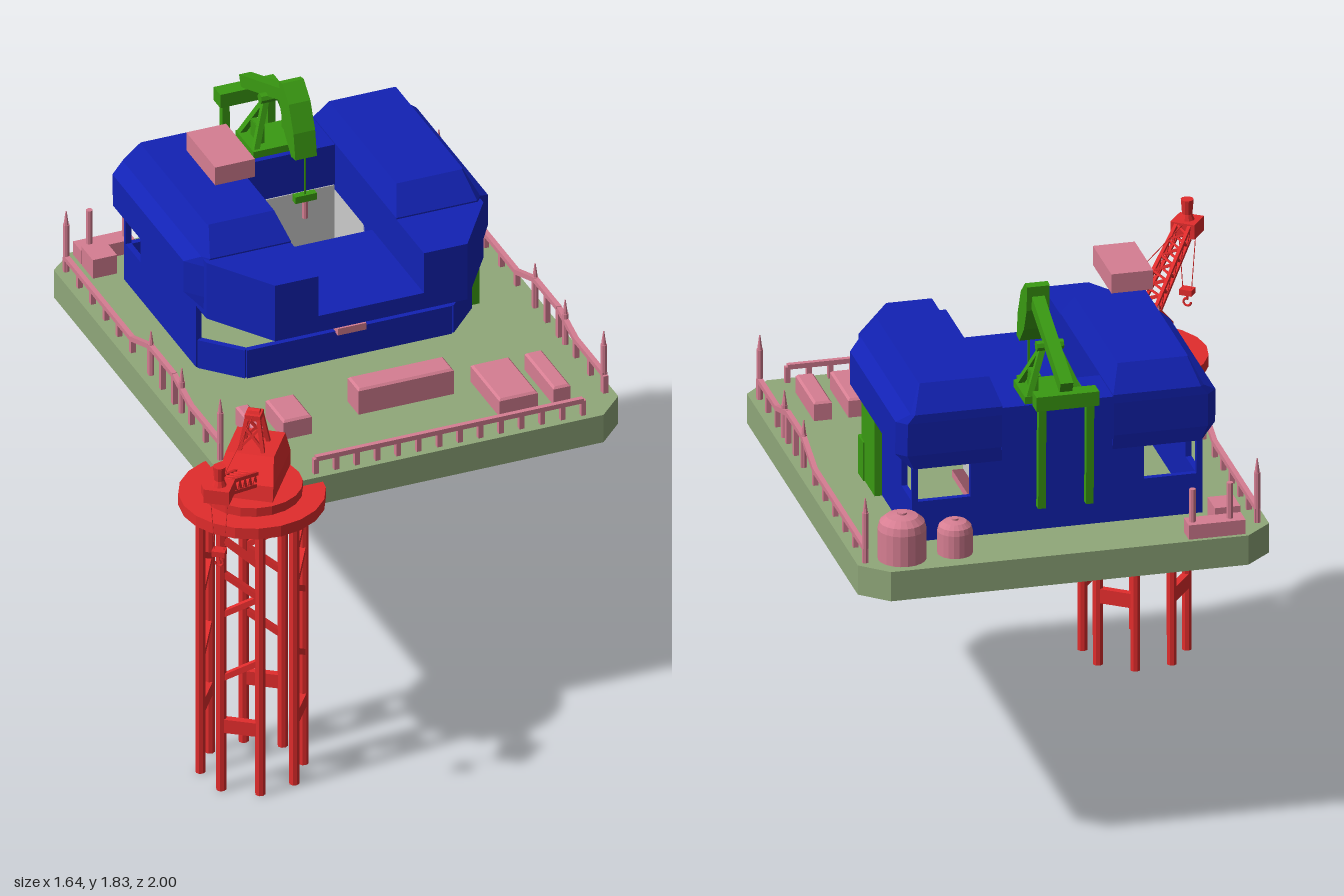
import * as THREE from 'three';

const mat = (color) => new THREE.MeshStandardMaterial({ color, flatShading: true, side: THREE.DoubleSide });
const RED = mat(0xe22c2c), BLUE = mat(0x1222b4), GREEN = mat(0x3a9a12), PINK = mat(0xd67e92);
const DECK = mat(0x90a87a), GREY = mat(0xcccccc);
const V = (x, y, z) => new THREE.Vector3(x, y, z);
const DECK_Y = 1.065;

function add(parent, name, geo, material, x = 0, y = 0, z = 0) {
  const m = new THREE.Mesh(geo, material);
  m.name = name;
  m.position.set(x, y, z);
  parent.add(m);
  return m;
}

function group(parent, name) {
  const g = new THREE.Group();
  g.name = name;
  parent.add(g);
  return g;
}

// box given by its limits
function block(parent, name, material, x0, x1, y0, y1, z0, z1) {
  return add(parent, name, new THREE.BoxGeometry(x1 - x0, y1 - y0, z1 - z0), material,
    (x0 + x1) / 2, (y0 + y1) / 2, (z0 + z1) / 2);
}

// bar between two points, square when sides = 4
function strut(parent, name, material, a, b, r, sides = 4, rEnd = r) {
  const geo = new THREE.CylinderGeometry(rEnd, r, a.distanceTo(b), sides);
  if (sides === 4) geo.rotateY(Math.PI / 4);
  const m = add(parent, name, geo, material);
  m.position.copy(a).add(b).multiplyScalar(0.5);
  m.quaternion.setFromUnitVectors(V(0, 1, 0), b.clone().sub(a).normalize());
  return m;
}

// skin over stacked rings of points, counterclockwise seen from above
function loft(rings, capped = true) {
  const n = rings[0].length, index = [];
  rings.slice(1).forEach((_, k) => {
    for (let i = 0; i < n; i++) {
      const a = k * n + i, b = k * n + (i + 1) % n;
      index.push(a, b, b + n, a, b + n, a + n);
    }
  });
  const top = (rings.length - 1) * n;
  for (let i = 1; capped && i < n - 1; i++) index.push(0, i + 1, i, top, top + i, top + i + 1);
  const geo = new THREE.BufferGeometry();
  geo.setAttribute('position', new THREE.Float32BufferAttribute(rings.flat(2), 3));
  geo.setIndex(index);
  const out = geo.toNonIndexed();
  out.computeVertexNormals();
  return out;
}
const rect = (x0, x1, z0, z1, y) => [[x0, y, z1], [x1, y, z1], [x1, y, z0], [x0, y, z0]];
const mirror = (ring) => ring.map(([x, y, z]) => [-x, y, z]).reverse();

function buildDeck(root) {
  // deck plate with an open well, and a skirt around it
  const pts = [[-0.465, 0.61], [0.73, 0.61], [0.82, 0.52], [0.82, -0.92], [0.73, -1], [-0.465, -1], [-0.555, -0.92], [-0.555, 0.52]];
  const shape = new THREE.Shape(pts.map(([x, z]) => new THREE.Vector2(x, -z)));
  const well = rect(-0.11, 0.345, -0.7, -0.3, 0);
  shape.holes.push(new THREE.Path(well.map(([x, , z]) => new THREE.Vector2(x, -z))));
  add(root, 'deckPlate', new THREE.ShapeGeometry(shape).rotateX(-Math.PI / 2), DECK, 0, DECK_Y, 0);
  add(root, 'deckSkirt', loft([0.962, DECK_Y].map((y) => pts.map(([x, z]) => [x, y, z])), false), DECK);
  add(root, 'wellLining', loft([0.99, 1.09].map((y) => well.map(([x, , z]) => [x, y, z])), false), PINK);
}

function buildHouse(root) {
  const house = group(root, 'house');
  house.position.x = 0.117;
  const wall = (x0, z0, x1, z1, y0, y1) => {
    const m = add(house, 'wall', new THREE.BoxGeometry(Math.hypot(x1 - x0, z1 - z0), y1 - y0, 0.02), BLUE,
      (x0 + x1) / 2, (y0 + y1) / 2, (z0 + z1) / 2);
    m.rotation.y = -Math.atan2(z1 - z0, x1 - x0);
  };
  const sill = 1.205, head = 1.325;
  wall(-0.36, -0.06, 0.36, -0.06, DECK_Y, 1.17);
  wall(-0.29, -0.77, 0.29, -0.77, DECK_Y, 1.4);
  for (const s of [-1, 1]) {
    // lower walls with an open front slot and rear corner windows
    wall(s * 0.475, -0.18, s * 0.36, -0.06, DECK_Y, 1.17);
    wall(s * 0.475, -0.18, s * 0.475, -0.64, DECK_Y, head);
    wall(s * 0.475, -0.64, s * 0.475, -0.78, DECK_Y, sill);
    wall(s * 0.29, -0.77, s * 0.475, -0.77, DECK_Y, sill);
    block(house, 'cornerPost', BLUE, s * 0.475 - 0.01, s * 0.475 + 0.01, sill, head, -0.78, -0.765);
    // raised side wing with cut corners
    const slab = (y, i, o, b, f, cut) => [[i, y, f], [o - cut, y, f], [o, y, f - cut * 1.2],
      [o, y, b + cut * 0.6], [o - cut * 0.6, y, b], [i, y, b]];
    const wing = [slab(1.32, 0.185, 0.485, -0.78, -0.1, 0.01), slab(1.37, 0.185, 0.535, -0.785, -0.1, 0.055),
      slab(1.485, 0.185, 0.535, -0.79, -0.1, 0.055), slab(1.515, 0.185, 0.49, -0.79, -0.1, 0.02),
      slab(1.6, 0.215, 0.45, -0.73, -0.17, 0.005)];
    add(house, 'wing', loft(s > 0 ? wing : wing.map(mirror)), BLUE);
    // overhanging front cheek
    const cheek = [1.3, 1.51].map((y) => [[0.185, y, 0.13], [0.338, y, 0.13], [0.487, y, -0.09], [0.487, y, -0.2], [0.185, y, -0.2]]);
    add(house, 'frontCheek', loft(s > 0 ? cheek : cheek.map(mirror)), BLUE);
    // glazed sides of the well
    block(house, 'wellSidePanel', GREY, s * 0.188 - 0.003, s * 0.188 + 0.003, 1.09, 1.34, -0.62, -0.3);
  }
  for (const z of [-0.62, -0.299]) block(house, 'wellEndPanel', GREY, -0.188, 0.188, 1.09, 1.355, z, z + 0.006);
  block(house, 'frontBridge', BLUE, -0.187, 0.187, 1.3, 1.36, -0.3, 0.13);
  block(house, 'rearBridge', BLUE, -0.187, 0.187, 1.36, 1.51, -0.79, -0.61);
  block(house, 'console', PINK, -0.05, 0.05, 1.165, 1.19, -0.07, -0.03);
  // side door and step box
  block(house, 'door', GREEN, 0.48, 0.51, DECK_Y, 1.335, -0.39, -0.22);
  block(house, 'doorBox', GREEN, 0.48, 0.515, DECK_Y, 1.2, -0.26, -0.19);
}

function buildPump(root) {
  const pump = group(root, 'pumpJack');
  pump.position.x = 0.125;
  block(pump, 'base', GREEN, -0.1, 0.1, 1.51, 1.535, -0.78, -0.63);
  for (const s of [-1, 1]) {
    for (const z of [-0.65, -0.77]) strut(pump, 'frameLeg', GREEN, V(s * 0.085, 1.53, z), V(s * 0.025, 1.67, -0.71), 0.014);
    strut(pump, 'frameTie', GREEN, V(s * 0.06, 1.59, -0.67), V(s * 0.06, 1.59, -0.75), 0.01);
    block(pump, 'gearPlate', GREEN, s * 0.055 - 0.01, s * 0.055 + 0.01, 1.53, 1.6, -0.74, -0.67);
    strut(pump, 'hangingRod', GREEN, V(s * 0.08, 1.2, -0.91), V(s * 0.08, 1.58, -0.92), 0.018);
  }
  strut(pump, 'pivot', GREEN, V(-0.045, 1.68, -0.71), V(0.045, 1.68, -0.71), 0.018, 8);
  strut(pump, 'beam', GREEN, V(0, 1.78, -0.53), V(0, 1.62, -0.93), 0.03);
  block(pump, 'crossBar', GREEN, -0.105, 0.105, 1.555, 1.605, -0.95, -0.895);
  // curved head plate
  const pts = [[-0.43, 1.6], [-0.445, 1.69], [-0.485, 1.78], [-0.54, 1.83], [-0.565, 1.825], [-0.56, 1.74], [-0.525, 1.66], [-0.465, 1.595]];
  const shape = new THREE.Shape(pts.map(([z, y]) => new THREE.Vector2(-z, y)));
  const geo = new THREE.ExtrudeGeometry(shape, { depth: 0.076, bevelEnabled: false }).rotateY(Math.PI / 2);
  add(pump, 'headPlate', geo, GREEN, -0.038, 0, 0);
  strut(pump, 'cable', GREEN, V(0, 1.43, -0.44), V(0, 1.62, -0.44), 0.004);
  block(pump, 'carrierBar', GREEN, -0.038, 0.038, 1.435, 1.46, -0.455, -0.43);
  strut(pump, 'wellRod', PINK, V(0, 1.37, -0.44), V(0, 1.435, -0.44), 0.01, 8);
}

function buildCrane(root) {
  const crane = group(root, 'crane');
  crane.position.set(-0.49, 0, 0.573);
  const heading = -0.635;
  // four braced ladders of two legs each
  for (let i = 0; i < 4; i++) {
    const tower = group(crane, 'legPair');
    tower.rotation.y = heading + i * Math.PI / 2;
    for (const s of [-1, 1]) strut(tower, 'leg', RED, V(s * 0.065, 0, 0.156), V(s * 0.065, 1.02, 0.156), 0.017, 8);
    block(tower, 'tiePlate', RED, -0.063, 0.063, 0.22, 0.27, 0.144, 0.168);
    const flip = i % 2 ? -0.065 : 0.065;
    [[0.42, 0.5, 1], [0.66, 0.74, 1], [0.82, 0.74, 1], [0.86, 0.95, -1]].forEach(([a, b, s]) =>
      strut(tower, 'brace', RED, V(-s * flip, a, 0.156), V(s * flip, b, 0.156), 0.014));
  }
  add(crane, 'platform', new THREE.CylinderGeometry(0.24, 0.24, 0.04, 20), RED, 0, 1.025, 0);
  add(crane, 'platformUnderside', new THREE.CylinderGeometry(0.24, 0.205, 0.012, 20), RED, 0, 0.999, 0);
  add(crane, 'turntable', new THREE.CylinderGeometry(0.165, 0.165, 0.035, 20), RED, 0, 1.06, 0);

  // slewing part, facing local +z
  const top = group(crane, 'slewingPart');
  top.rotation.y = heading;
  add(top, 'cab', loft([rect(-0.095, 0.095, -0.14, 0.11, 1.075), rect(-0.095, 0.095, -0.14, 0.1, 1.13),
    rect(-0.08, 0.08, -0.13, 0.03, 1.2)]), RED);
  const m = 0.02, mz = -0.03;
  for (const x of [-1, 1]) for (const z of [-1, 1]) {
    strut(top, 'mastLeg', RED, V(x * 0.04, 1.19, mz + z * 0.04), V(x * m, 1.31, mz + z * m), 0.009);
    strut(top, 'mastBrace', RED, V(x * 0.036, 1.21, mz + z * 0.036), V(-x * 0.025, 1.28, mz + z * 0.025), 0.006);
  }
  block(top, 'mastCap', RED, -0.026, 0.026, 1.305, 1.325, mz - 0.026, mz + 0.026);
  strut(top, 'mastPulley', RED, V(-0.02, 1.325, mz), V(0.02, 1.325, mz), 0.014, 8);

  // lattice jib
  const chord = (t, x, up) => V(x * (0.035 - 0.012 * t), 1.14 + 0.165 * t + up * 0.022, 0.08 + 0.34 * t);
  for (const x of [-1, 1]) for (const u of [-1, 1]) strut(top, 'jibChord', RED, chord(0, x, u), chord(1, x, u), 0.008);
  const bays = 11;
  for (let i = 0; i < bays; i++) {
    const a = i / bays, b = (i + 1) / bays, s = i % 2 ? 1 : -1;
    for (const k of [-1, 1]) {
      strut(top, 'jibLacing', RED, chord(a, k, s), chord(b, k, -s), 0.005);
      strut(top, 'jibLacing', RED, chord(a, s, k), chord(b, -s, k), 0.005);
    }
  }
  const tip = 0.455;
  block(top, 'jibHead', RED, -0.042, 0.042, 1.285, 1.335, tip - 0.042, tip + 0.042);
  add(top, 'headDrumNeck', new THREE.CylinderGeometry(0.016, 0.024, 0.02, 10), RED, 0, 1.345, tip);
  add(top, 'headDrum', new THREE.CylinderGeometry(0.021, 0.017, 0.05, 10), RED, 0, 1.38, tip);
  strut(top, 'stayCable', RED, V(0, 1.32, mz), V(0, 1.33, tip - 0.04), 0.0015);
  for (const s of [-1, 1]) strut(top, 'hoistCable', RED, V(s * 0.03, 1.29, tip), V(s * 0.015, 1.085, tip), 0.0015);
  block(top, 'hookBlock', RED, -0.022, 0.022, 1.07, 1.09, tip - 0.018, tip + 0.018);
  strut(top, 'hookShank', RED, V(0, 1.05, tip), V(0, 1.07, tip), 0.004, 6);
  add(top, 'hook', new THREE.TorusGeometry(0.013, 0.004, 6, 10, Math.PI * 1.5), RED, 0, 1.042, tip).rotation.z = Math.PI;
}

function buildRail(root, path, spacing) {
  const rail = group(root, 'railing');
  for (let i = 1; i < path.length; i++) {
    const a = path[i - 1], b = path[i], n = Math.max(1, Math.round(a.distanceTo(b) / spacing));
    strut(rail, 'handrail', PINK, a, b, 0.012);
    for (let k = i === 1 ? 0 : 1; k <= n; k++) {
      const p = a.clone().lerp(b, k / n);
      strut(rail, 'railPost', PINK, V(p.x, DECK_Y, p.z), p, 0.012);
    }
  }
}

function buildDeckGear(root) {
  // side rails with a raised middle, and their pointed poles
  const sides = [[-0.52, -0.1, [-0.9, -0.195, 0.06, 0.38]], [0.79, 0, [-0.9, -0.1, 0.15, 0.47]]];
  for (const [x, shift, poles] of sides) {
    const profile = [[0.48, 1.13], [0.24, 1.13], [0.1, 1.17], [-0.1, 1.17], [-0.25, 1.115]];
    const path = profile.map(([z, y]) => V(x, y, z + shift));
    buildRail(root, [...path, V(x, 1.115, -0.9)], 0.12);
    poles.forEach((z, i) => {
      const h = i % 3 ? 1.18 : 1.24;
      strut(root, 'pole', PINK, V(x, DECK_Y, z), V(x, h, z), 0.011, 8);
      strut(root, 'poleTip', PINK, V(x, h, z), V(x, h + 0.05, z), 0.009, 8, 0.002);
    });
  }
  buildRail(root, [V(-0.27, 1.12, 0.58), V(0.67, 1.12, 0.58)], 0.075);

  // cargo boxes on the foredeck: x0, x1, z0, z1, height
  [[-0.39, -0.345, 0.2, 0.35, 0.07], [-0.285, -0.185, 0.2, 0.35, 0.07], [0, 0.335, 0.21, 0.3, 0.095],
    [0.415, 0.55, 0.25, 0.49, 0.065], [0.605, 0.665, 0.25, 0.49, 0.065]].forEach(([x0, x1, z0, z1, h]) => {
    const i = 0.007;
    add(root, 'cargoBox', loft([rect(x0, x1, z0, z1, DECK_Y), rect(x0, x1, z0, z1, DECK_Y + h - i),
      rect(x0 + i, x1 - i, z0 + i, z1 - i, DECK_Y + h)]), PINK);
  });

  // domed tanks
  for (const [x, r, h] of [[0.665, 0.08, 0.155], [0.488, 0.058, 0.115]]) {
    const pts = [[0, 0], [r, 0], [r, h * 0.68], [r * 0.92, h * 0.84], [r * 0.65, h * 0.96], [r * 0.2, h], [r * 0.2, h + 0.006], [0, h + 0.006]];
    add(root, 'tank', new THREE.LatheGeometry(pts.map((p) => new THREE.Vector2(...p)), 20), PINK, x, DECK_Y, -0.893);
  }

  // stern machinery with vent pipes
  block(root, 'sternBox', PINK, -0.46, -0.27, DECK_Y, 1.115, -0.985, -0.92);
  block(root, 'sternBox', PINK, -0.46, -0.375, DECK_Y, 1.135, -0.915, -0.82);
  for (const [x, y] of [[-0.415, 1.24], [-0.29, 1.23]]) strut(root, 'ventPipe', PINK, V(x, 1.1, -0.955), V(x, y, -0.955), 0.011, 8);
  // floating roof unit
  block(root, 'roofUnit', PINK, -0.29, -0.15, 1.72, 1.787, -0.445, -0.205);
}

export function createModel() {
  const root = new THREE.Group();
  root.name = 'offshoreRig';
  [buildDeck, buildHouse, buildPump, buildCrane, buildDeckGear].forEach((build) => build(root));
  return root;
}
